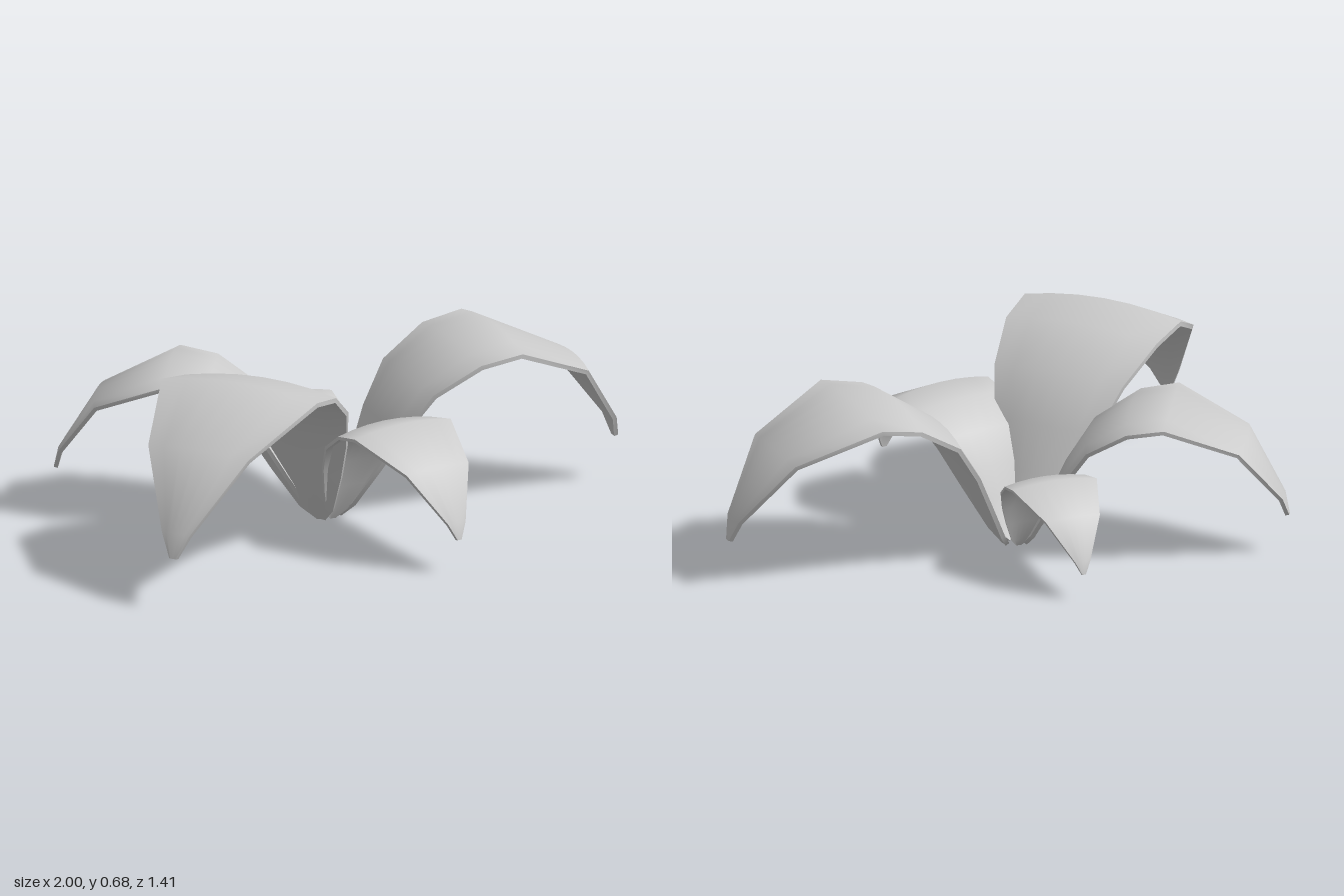
import * as THREE from 'three';
import { toCreasedNormals } from 'three/addons/utils/BufferGeometryUtils.js';

// Leaf midrib stations: [distance from centre, height, half width]
const STATIONS = [
  [0.03, 0.012, 0.015], [0.06, 0.06, 0.06], [0.125, 0.2, 0.125],
  [0.19, 0.34, 0.18], [0.285, 0.49, 0.23], [0.455, 0.6, 0.27],
  [0.625, 0.63, 0.28], [0.92, 0.49, 0.18], [1.07, 0.25, 0.05],
  [1.088, 0.17, 0.012],
];
const STRIPS = 6;        // strips across the blade
const THICKNESS = 0.016;
const CROWN = 0.11;      // how far the edges droop, relative to half width

// Arched, slightly cupped blade with a thin rim, growing along +x
function leafGeometry() {
  const positions = [];
  const index = [];
  const ring = 2 * (STRIPS + 1);
  const last = STATIONS.length - 1;

  STATIONS.forEach(([r, y, halfWidth], i) => {
    const a = STATIONS[Math.max(i - 1, 0)];
    const b = STATIONS[Math.min(i + 1, last)];
    const length = Math.hypot(b[0] - a[0], b[1] - a[1]);
    const nx = -(b[1] - a[1]) / length;
    const ny = (b[0] - a[0]) / length;
    for (let j = 0; j < ring; j++) {
      const top = j <= STRIPS;
      const k = top ? j : ring - 1 - j;
      const u = (2 * k) / STRIPS - 1;
      const drop = CROWN * halfWidth * u * u + (top ? 0 : THICKNESS);
      positions.push(r - nx * drop, y - ny * drop, u * halfWidth);
    }
  });

  for (let i = 0; i < last; i++) {
    for (let j = 0; j < ring; j++) {
      const next = (j + 1) % ring;
      const a = i * ring + j, b = i * ring + next;
      const c = b + ring, d = a + ring;
      index.push(a, b, c, a, c, d);
    }
  }
  // Close the root and the tip
  for (let j = 0; j < STRIPS; j++) {
    const p = j, q = j + 1, s = ring - 2 - j, t = ring - 1 - j;
    index.push(p, s, q, p, t, s);
    const e = last * ring;
    index.push(e + p, e + q, e + s, e + p, e + s, e + t);
  }

  const geometry = new THREE.BufferGeometry();
  geometry.setAttribute('position', new THREE.Float32BufferAttribute(positions, 3));
  geometry.setIndex(index);
  return toCreasedNormals(geometry, 1.0);
}

export function createModel() {
  const plant = new THREE.Group();
  plant.name = 'leafRosette';
  const material = new THREE.MeshStandardMaterial({ color: 0xcccccc, side: THREE.DoubleSide });
  const geometry = leafGeometry();

  // One blade, turned and scaled: name, heading in degrees, size
  const leaves = [
    ['leftLeaf', 0, 1],
    ['backLeaf', 90, 0.565],
    ['backRightLeaf', 151, 0.88],
    ['frontRightLeaf', 220.5, 1.085],
    ['frontLeaf', -77, 0.73],
  ];
  for (const [name, degrees, size] of leaves) {
    const leaf = new THREE.Mesh(geometry, material);
    leaf.name = name;
    leaf.position.set(-0.093, 0, -0.093);
    leaf.rotation.y = THREE.MathUtils.degToRad(degrees);
    leaf.scale.setScalar(size);
    plant.add(leaf);
  }
  return plant;
}
